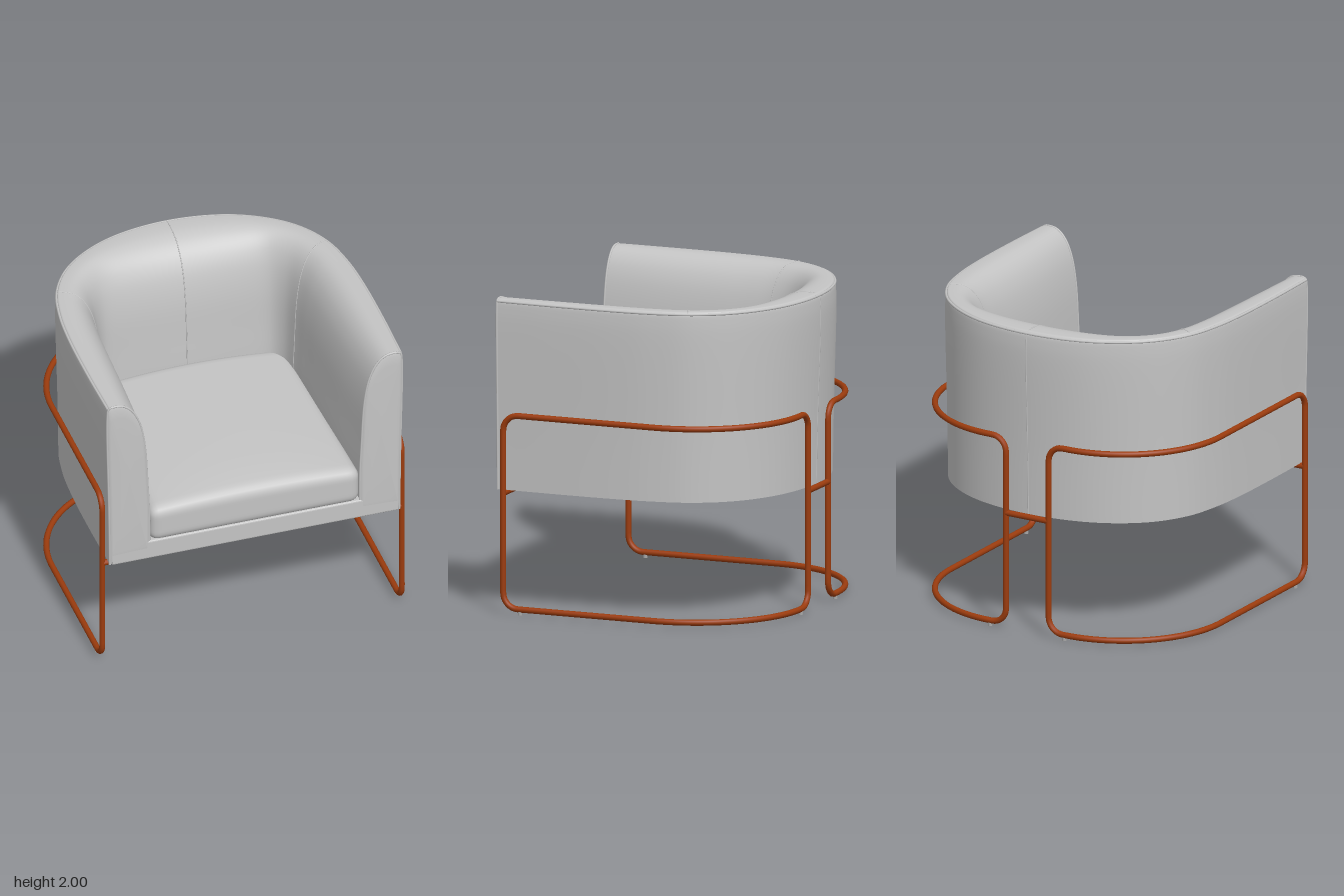
import * as THREE from 'three';
import { mergeVertices } from 'three/addons/utils/BufferGeometryUtils.js';

export function createModel() {
  const chair = new THREE.Group();
  chair.name = 'tubChair';
  const fabric = new THREE.MeshStandardMaterial({ name: 'grey upholstery', color: 0xc4c4c4 });
  const copper = new THREE.MeshStandardMaterial({ name: 'copper frame', color: 0x9c3c0e });
  const padGrey = new THREE.MeshStandardMaterial({ name: 'foot pad grey', color: 0xa8a8a8 });

  const add = (name, geometry, material) => {
    const mesh = new THREE.Mesh(geometry, material);
    mesh.name = name;
    chair.add(mesh);
    return mesh;
  };
  const tube = (name, points, radius, material, closed = false, segments = 120, sides = 8) =>
    add(name, new THREE.TubeGeometry(new THREE.CatmullRomCurve3(points, closed, 'centripetal'),
      segments, radius, sides, closed), material);

  // U-shaped plan curves of the wall, from the left arm front round the back to the right
  const uCurve = (half) => {
    const mirrored = half.slice(0, -1).reverse().map(([x, z]) => [-x, z]);
    return new THREE.CatmullRomCurve3([...half, ...mirrored].map(([x, z]) => new THREE.Vector3(x, 0, z)));
  };
  const outer = uCurve([[0.955, 0.88], [0.962, 0.5], [0.957, 0.1], [0.935, -0.15], [0.88, -0.38],
    [0.76, -0.58], [0.58, -0.73], [0.34, -0.835], [0, -0.88]]);
  const inner = uCurve([[0.69, 0.88], [0.66, 0.5], [0.64, 0.1], [0.632, -0.1], [0.622, -0.25],
    [0.595, -0.36], [0.53, -0.43], [0.34, -0.452], [0, -0.46]]);

  // Wall profile: x = 0 at the outside and 1 at the inside, y = height
  const profile = new THREE.SplineCurve([[0.03, 0.78], [0.01, 1.2], [-0.035, 1.75], [-0.03, 1.93],
    [0.0, 1.98], [0.08, 1.99], [0.32, 1.985], [0.52, 1.95], [0.69, 1.88], [0.82, 1.77], [0.91, 1.6],
    [0.96, 1.35], [1, 1.1], [1, 0.79]].map((p) => new THREE.Vector2(...p))).getPoints(78);
  const ring = [...profile, profile[profile.length - 1], profile[0], profile[0]];

  const wallPoint = (t, p, shrink = 0, push = 0) => {
    const f = THREE.MathUtils.lerp(p.x, 0.5, shrink);
    const v = outer.getPoint(t).lerp(inner.getPoint(t), 0);
    v.addScaledVector(inner.getPoint(t).sub(v), f);
    v.y = THREE.MathUtils.lerp(p.y, 1.4, shrink);
    v.z += push;
    return v;
  };

  // Wraparound wall with softly padded arm fronts
  const cap = [[0, 0], [0.04, 0.008], [0.15, 0.014], [0.6, 0.018], [1, 0.02]];
  const sections = [];
  for (const [s, d] of [...cap].reverse()) sections.push([0, s, d]);
  for (let i = 0; i <= 96; i++) sections.push([i / 96, 0, 0]);
  for (const [s, d] of cap) sections.push([1, s, d]);
  const positions = [], index = [], n = ring.length;
  sections.forEach(([t, s, d], i) => {
    ring.forEach((p, j) => {
      positions.push(...wallPoint(t, p, s, d).toArray());
      if (i < sections.length - 1 && j < n - 1) {
        const a = i * n + j, b = a + n;
        index.push(a, b, a + 1, b, b + 1, a + 1);
      }
    });
  });
  const wall = new THREE.BufferGeometry();
  wall.setAttribute('position', new THREE.Float32BufferAttribute(positions, 3));
  wall.setIndex(index);
  wall.computeVertexNormals();
  add('wraparoundBackAndArms', wall, fabric);

  // Piping along the rim and arm fronts, then the stitched seams
  const rim = [];
  for (let i = 0; i <= 64; i++) rim.push(wallPoint(i / 64, new THREE.Vector2(-0.01, 1.975)));
  tube('rimPiping', rim, 0.009, fabric);
  for (const t of [0, 1]) {
    tube('armFrontPiping', profile.map((p) => wallPoint(t, p)), 0.007, fabric);
  }
  for (const t of [0.25, 0.5, 0.75]) {
    tube('seam', profile.slice(t === 0.5 ? 0 : 24).map((p) => wallPoint(t, p)), 0.004, fabric, false, 90, 6);
  }

  // Seat base filling the plan of the wall
  const plan = outer.getPoints(64).map((p) =>
    new THREE.Vector2(p.x * 0.965, -(p.z < 0 ? p.z * 0.965 : p.z)));
  const base = new THREE.ExtrudeGeometry(new THREE.Shape(plan),
    { depth: 0.11, bevelSize: 0.012, bevelThickness: 0.012, bevelSegments: 3 });
  base.rotateX(-Math.PI / 2).translate(0, 0.787, 0);
  add('seatBase', base, fabric);

  // Crowned seat cushion, rounded by pushing grid points onto a soft box
  const half = new THREE.Vector3(0.69, 0.125, 0.69), r = 0.065;
  let cushion = new THREE.BoxGeometry(half.x * 2, half.y * 2, half.z * 2, 48, 14, 48);
  cushion.deleteAttribute('normal');
  cushion.deleteAttribute('uv');
  cushion = mergeVertices(cushion);
  const pos = cushion.attributes.position;
  const core = half.clone().subScalar(r), v = new THREE.Vector3(), c = new THREE.Vector3();
  for (let i = 0; i < pos.count; i++) {
    v.fromBufferAttribute(pos, i);
    c.copy(v).clamp(core.clone().negate(), core);
    v.sub(c).setLength(r).add(c);
    const lift = (v.y + half.y) / (2 * half.y);
    const across = 1 - (v.x / half.x) ** 2, along = 1 - Math.max(0, v.z / half.z) ** 4;
    v.y += lift * (0.02 * across + 0.03 * across * along);
    v.x *= 0.97 + 0.03 * v.z / half.z;
    pos.setXYZ(i, v.x, v.y + 1.02, v.z + 0.215);
  }
  cushion.computeVertexNormals();
  add('seatCushion', cushion, fabric);

  // Side frames: a rounded rectangle wrapped round the plan of the chair
  const straight = 1.01, bend = 0.7, arcLength = bend * Math.PI / 2, length = straight + arcLength + 0.125;
  const wrap = (s, y, side) => {
    if (s < straight) return new THREE.Vector3(side * 0.98, y, 0.83 - s);
    const a = Math.min((s - straight) / bend, Math.PI / 2);
    const rest = Math.max(0, s - straight - arcLength);
    return new THREE.Vector3(side * (0.28 + bend * Math.cos(a) - rest), y, -0.18 - bend * Math.sin(a));
  };
  const low = 0.035, high = 1.262, k = 0.1;
  const loop = new THREE.Shape();
  loop.absarc(length - k, low + k, k, -Math.PI / 2, 0);
  loop.absarc(length - k, high - k, k, 0, Math.PI / 2);
  loop.absarc(k, high - k, k, Math.PI / 2, Math.PI);
  loop.absarc(k, low + k, k, Math.PI, Math.PI * 1.5);
  loop.closePath();
  const loopPoints = loop.getSpacedPoints(200).slice(0, -1);
  for (const side of [1, -1]) {
    tube(side > 0 ? 'leftFrame' : 'rightFrame', loopPoints.map((p) => wrap(p.x, p.y, side)),
      0.019, copper, true, 400, 10);
    // Small foot pads under each runner
    for (const [x, z] of [[0.98, 0.715], [0.27, -0.88]]) {
      add('footPad', new THREE.CylinderGeometry(0.014, 0.014, 0.03, 12), padGrey)
        .position.set(side * x, 0.015, z);
    }
  }

  // Crossbars joining the two frames
  for (const [name, reach, z] of [['frontCrossbar', 0.98, 0.83], ['backCrossbar', 0.155, -0.88]]) {
    const bar = add(name, new THREE.CylinderGeometry(0.019, 0.019, reach * 2, 12), copper);
    bar.rotation.z = Math.PI / 2;
    bar.position.set(0, 0.765, z);
  }
  return chair;
}
